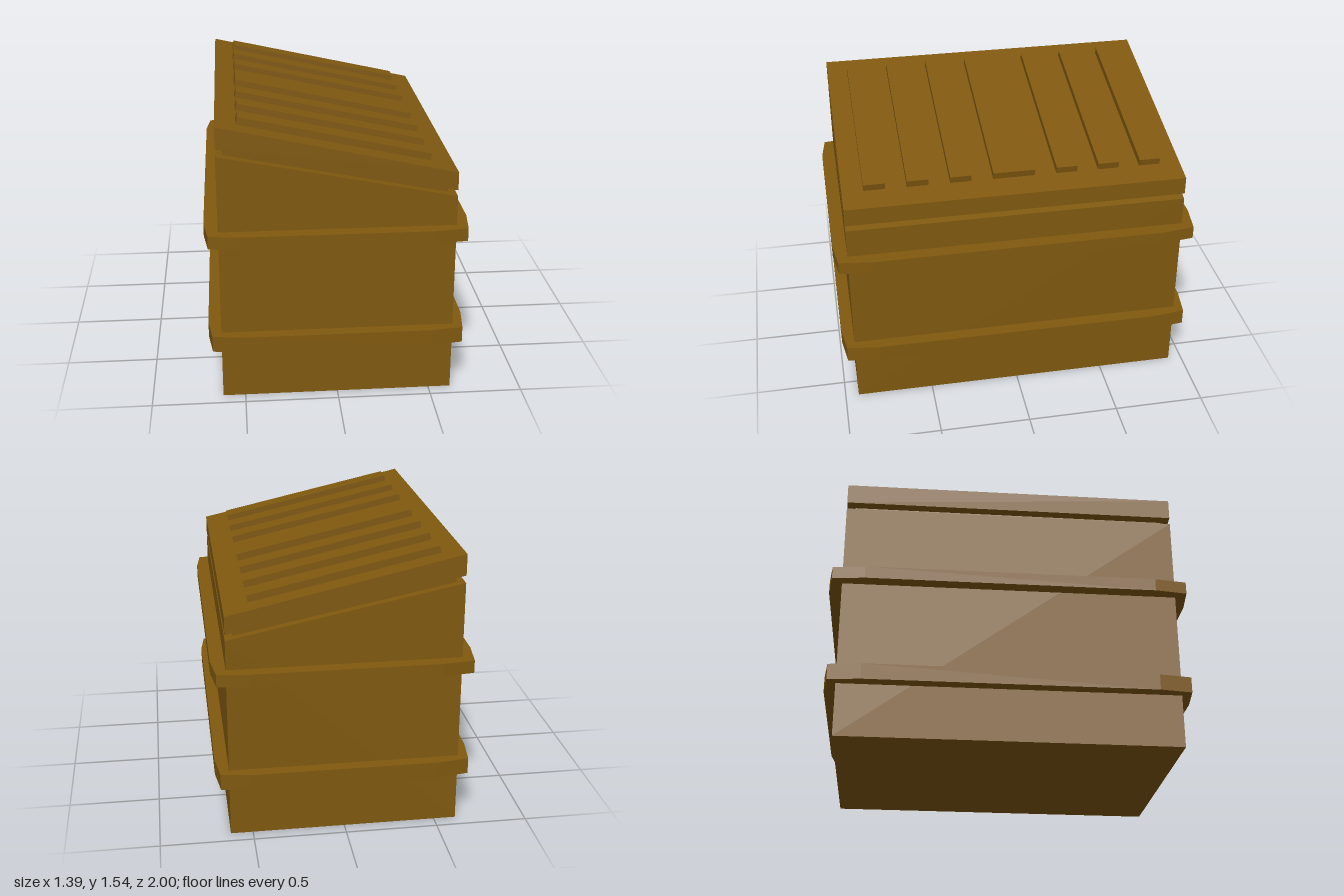
import * as THREE from 'three';

const material = new THREE.MeshStandardMaterial({ color: 0x80590f, flatShading: true });

// Prism from an outline in x/y, centred on z
function prism(name, points, depth, z = 0) {
  const shape = new THREE.Shape(points.map(([x, y]) => new THREE.Vector2(x, y)));
  const geometry = new THREE.ExtrudeGeometry(shape, { depth, bevelEnabled: false });
  geometry.translate(0, 0, z - depth / 2);
  const mesh = new THREE.Mesh(geometry, material);
  mesh.name = name;
  return mesh;
}

// Band with clipped, slightly tapering corners around the body
function band(name, y, height, scale) {
  const quarter = [[0.695, 0.8], [0.672, 0.977], [0.5, 1]];
  const flipped = [...quarter].reverse();
  const outline = [
    ...quarter,
    ...flipped.map(([x, z]) => [-x, z]),
    ...quarter.map(([x, z]) => [-x, -z]),
    ...flipped.map(([x, z]) => [x, -z]),
  ].map(([x, z]) => new THREE.Vector2(x * scale, z * scale));
  const shape = new THREE.Shape(outline);
  // Opening sits just inside the body walls
  shape.holes.push(new THREE.Path([[-0.6, -0.9], [-0.6, 0.9], [0.6, 0.9], [0.6, -0.9]]
    .map(([x, z]) => new THREE.Vector2(x, z))));
  const geometry = new THREE.ExtrudeGeometry(shape, { depth: height, bevelEnabled: false });
  geometry.rotateX(-Math.PI / 2);
  const mesh = new THREE.Mesh(geometry, material);
  mesh.position.y = y;
  mesh.name = name;
  return mesh;
}

export function createModel() {
  const model = new THREE.Group();
  model.name = 'slopedCrate';

  // Box with a slanted top
  model.add(prism('body', [[-0.62, 0], [0.62, 0], [0.62, 1.12], [-0.62, 1.37]], 1.85));

  // Two surrounding bands
  model.add(band('lowerBand', 0.295, 0.088, 0.992));
  model.add(band('upperBand', 0.89, 0.07, 1));

  // Recessed lip between body and lid
  model.add(prism('lidLip', [[-0.585, 1.345], [0.572, 1.11], [0.58, 1.18], [-0.575, 1.42]], 1.76));

  // Sloping lid
  model.add(prism('lid', [[-0.62, 1.41], [0.62, 1.152], [0.62, 1.25], [-0.62, 1.525]], 1.85));

  // Raised slats: a wide one in the middle, three narrow ones on each side
  const slatProfile = [[-0.518, 1.48], [0.486, 1.26], [0.498, 1.317], [-0.504, 1.54]];
  const slats = new THREE.Group();
  slats.name = 'lidSlats';
  slats.add(prism('wideSlat', slatProfile, 0.228));
  for (const side of [-1, 1]) {
    for (const z of [0.29, 0.522, 0.753]) slats.add(prism('narrowSlat', slatProfile, 0.115, side * z));
  }
  model.add(slats);

  return model;
}
